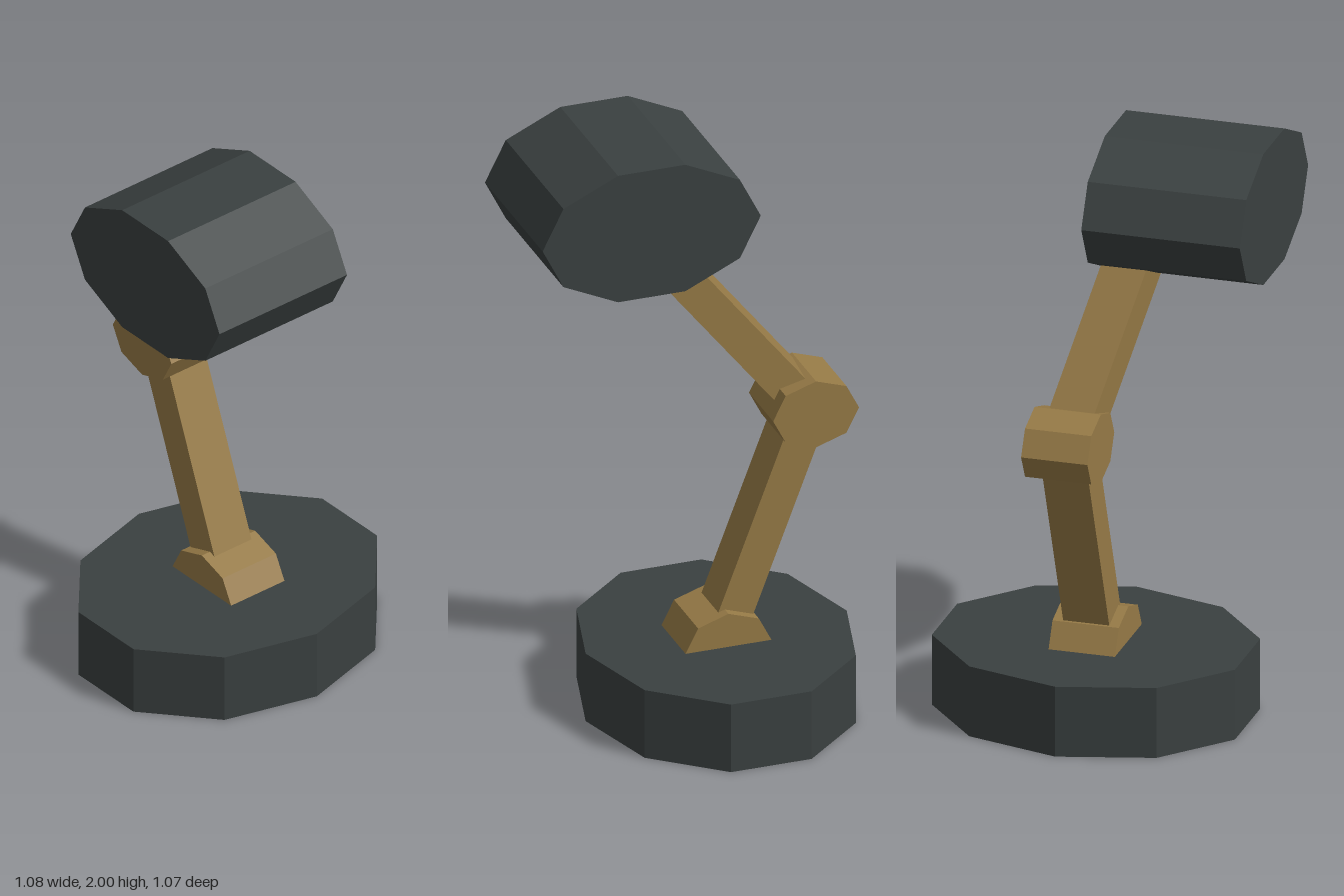
import * as THREE from 'three';

const dark = new THREE.MeshStandardMaterial({ color: 0x3a4040, flatShading: true });
const brass = new THREE.MeshStandardMaterial({ color: 0x967a46, flatShading: true });

// Elliptical prism with a corner on the +x side; upright, or lying along z
function prism(name, sides, rx, ry, length, center, material, alongZ) {
  const geo = new THREE.CylinderGeometry(1, 1, length, sides, 1, false, Math.PI / 2);
  geo.scale(rx, 1, ry);
  if (alongZ) geo.rotateX(Math.PI / 2);
  const mesh = new THREE.Mesh(geo, material);
  mesh.name = name;
  mesh.position.set(...center);
  return mesh;
}

// Square-edged bar from start to end; widthDir is the rough direction of its wide side
function bar(name, start, end, widthDir) {
  const along = end.clone().sub(start);
  const geo = new THREE.BoxGeometry(0.125, along.length(), 0.16);
  const y = along.clone().normalize();
  const x = y.clone().cross(widthDir).normalize();
  const z = x.clone().cross(y);
  const mesh = new THREE.Mesh(geo, brass);
  mesh.name = name;
  mesh.quaternion.setFromRotationMatrix(new THREE.Matrix4().makeBasis(x, y, z));
  mesh.position.copy(start).addScaledVector(along, 0.5);
  return mesh;
}

export function createModel() {
  const lamp = new THREE.Group();
  lamp.name = 'deskLamp';

  const foot = new THREE.Vector3(-0.077, 0.25, -0.015);
  const elbow = new THREE.Vector3(-0.387, 1.057, -0.015);
  const neck = elbow.clone().addScaledVector(new THREE.Vector3(0.622, 0.768, 0.154), 0.84);

  // Ten-sided base and shade
  lamp.add(prism('base', 10, 0.462, 0.553, 0.25, [-0.077, 0.125, -0.012], dark, false));
  lamp.add(prism('lampHead', 10, 0.386, 0.246, 0.55, [0.152, 1.766, 0.26], dark, true));

  // Eight-sided pivots; the lower one is half sunk in the base
  for (const [name, p] of [['baseJoint', foot], ['elbowJoint', elbow]])
    lamp.add(prism(name, 8, 0.152, 0.122, 0.23, p.toArray(), brass, true));

  // Arms, the upper one twisted toward the front
  lamp.add(bar('lowerArm', foot, elbow, new THREE.Vector3(0, 0, 1)));
  lamp.add(bar('upperArm', elbow, neck, new THREE.Vector3(-0.158, -0.07, 0.985)));
  return lamp;
}
